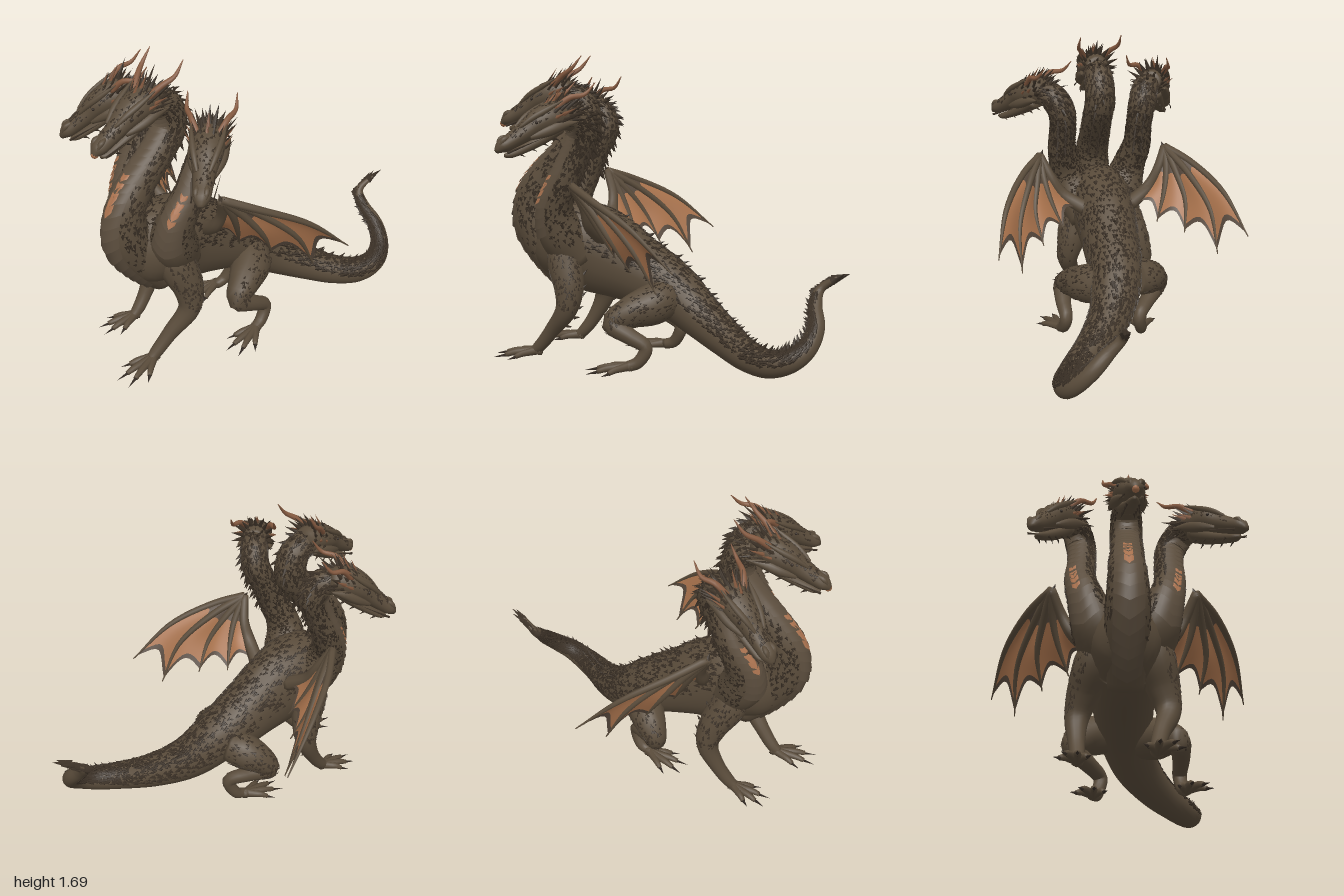
import * as THREE from 'three';
import { mergeGeometries } from 'three/addons/utils/BufferGeometryUtils.js';

const mat = (name, color, side = THREE.FrontSide) => Object.assign(new THREE.MeshStandardMaterial({ color, side }), { name });
const V = (x, y, z) => new THREE.Vector3(x, y, z);
const UP = Math.PI / 2;

let seed = 7;
const rnd = () => ((seed = (seed * 16807) % 2147483647) / 2147483647);
const range = (a, b) => a + (b - a) * rnd();

// Tapering tube through [x, y, z, rx, ry?]; returns point, normal and tangent at (u, angle).
function surface(pts) {
  const path = new THREE.CatmullRomCurve3(pts.map(p => V(p[0], p[1], p[2])));
  const radii = new THREE.CatmullRomCurve3(pts.map(p => V(p[3], p[4] ?? p[3], 0)), false, 'catmullrom', 0.5);
  return (u, a) => {
    const c = path.getPoint(u), t = path.getTangent(u), r = radii.getPoint(u);
    const s = V(1, 0, 0).addScaledVector(t, -t.x).normalize();
    const w = t.clone().cross(s);
    const n = s.clone().multiplyScalar(Math.cos(a)).addScaledVector(w, Math.sin(a));
    const p = c.clone().addScaledVector(s, Math.cos(a) * r.x).addScaledVector(w, Math.sin(a) * r.y);
    return { p, n, t, c };
  };
}

function meshFrom(pos, index, material, name) {
  const g = new THREE.BufferGeometry();
  g.setAttribute('position', new THREE.Float32BufferAttribute(pos, 3));
  g.setIndex(index);
  g.computeVertexNormals();
  return Object.assign(new THREE.Mesh(g, material), { name });
}

function loft(name, pts, material, steps = 20, sides = 12) {
  const f = surface(pts), pos = [], index = [];
  for (let i = 0; i <= steps; i++)
    for (let j = 0; j < sides; j++) pos.push(...f(i / steps, (j / sides) * Math.PI * 2).p.toArray());
  for (let i = 0; i < steps; i++)
    for (let j = 0; j < sides; j++) {
      const k = (j + 1) % sides, a = i * sides + j, b = i * sides + k;
      index.push(a, b, b + sides, a, b + sides, a + sides);
    }
  const n = (steps + 1) * sides;
  pos.push(...f(0, 0).c.toArray(), ...f(1, 0).c.toArray());
  for (let j = 0; j < sides; j++) {
    const k = (j + 1) % sides, e = steps * sides;
    index.push(n, k, j, n + 1, e + j, e + k);
  }
  return meshFrom(pos, index, material, name);
}

// Flattened pointed scale growing from p along dir, with its flat side facing n.
function spike(p, dir, n, len, w, thick = w) {
  const y = dir.clone().normalize(), x = y.clone().cross(n).normalize(), z = x.clone().cross(y);
  const m = new THREE.Matrix4().makeBasis(x, y, z).scale(V(w, len, thick)).setPosition(p);
  return new THREE.ConeGeometry(1, 1, 4, 1, true).translate(0, 0.45, 0).applyMatrix4(m);
}
const merged = (name, list, material) => Object.assign(new THREE.Mesh(mergeGeometries(list), material), { name });

// Scattered small scales lying almost flush, pointing back along the tube.
function scales(pts, count, u0, u1, a0, a1, len) {
  const f = surface(pts), out = [];
  for (let i = 0; i < count; i++) {
    const { p, n, t } = f(range(u0, u1), range(a0, a1)), l = len * range(0.7, 1.3);
    out.push(spike(p, n.clone().multiplyScalar(0.07).sub(t), n, l, l * 0.34, l * 0.12));
  }
  return out;
}

// Rows of raised spines along the back of a tube.
function spines(pts, count, u0, u1, angles, len) {
  const f = surface(pts), out = [];
  for (const a of angles)
    for (let i = 0; i < count; i++) {
      const { p, n, t } = f(u0 + ((u1 - u0) * (i + rnd() * 0.5)) / count, UP + a), l = len * range(0.7, 1.2);
      out.push(spike(p, n.clone().addScaledVector(t, -0.8), n, l, l * 0.2, l * 0.26));
    }
  return out;
}

// Overlapping chevron plates down the throat.
function plates(name, pts, u0, u1, count, centre, half, lift, material) {
  const f = surface(pts), pos = [], index = [], du = (u1 - u0) / count, w = 8;
  for (let i = 0; i < count; i++) {
    const start = pos.length / 3;
    for (let r = 0; r < 2; r++)
      for (let j = 0; j <= w; j++) {
        const v = (j / w) * 2 - 1, u = u0 + du * (i + (r ? 1.1 : 0) - (1 - Math.abs(v)) * 0.7);
        const { p, n } = f(Math.max(0, u), centre + v * half);
        pos.push(...p.addScaledVector(n, lift + (r ? 0 : 0.008) * (1 - v * v)).toArray());
      }
    for (let j = 0; j < w; j++) {
      const a = start + j, b = a + w + 1;
      index.push(a, a + 1, b + 1, a, b + 1, b);
    }
  }
  return meshFrom(pos, index, material, name);
}

export function createModel() {
  seed = 7;
  const model = new THREE.Group();
  model.name = 'threeHeadedDragon';
  const hide = mat('hide', 0x594b3a), dark = mat('darkScale', 0x3f3429), belly = mat('throatPlate', 0x5b4d3d, THREE.DoubleSide);
  const amber = mat('amberPlate', 0xa8714e, THREE.DoubleSide), horn = mat('horn', 0x855a40), claw = mat('claw', 0x332a23);
  const web = mat('wingMembrane', 0xa8724c, THREE.DoubleSide), webDark = mat('wingSkin', 0x54463a, THREE.DoubleSide);
  const darkList = [];

  // Tail and torso, from tail tip to chest
  const spine = [
    [0.215, 0.55, -0.93, 0.01], [0.19, 0.475, -0.84, 0.025], [0.25, 0.4, -0.82, 0.036], [0.34, 0.31, -0.83, 0.045], [0.42, 0.22, -0.79, 0.053],
    [0.455, 0.16, -0.71, 0.063], [0.43, 0.125, -0.6, 0.073], [0.35, 0.135, -0.48, 0.083], [0.22, 0.19, -0.34, 0.1],
    [0.1, 0.28, -0.18, 0.125], [0.03, 0.41, 0.0, 0.15, 0.16], [0.01, 0.51, 0.2, 0.165, 0.2], [0, 0.6, 0.4, 0.18, 0.25],
    [0, 0.65, 0.56, 0.2, 0.24], [0, 0.64, 0.7, 0.16, 0.19], [0, 0.64, 0.8, 0.06, 0.08]];
  model.add(loft('torsoAndTail', spine, hide, 84, 20));
  darkList.push(...scales(spine, 2900, 0.1, 0.92, UP - 1.5, UP + 1.5, 0.026));
  darkList.push(...spines(spine, 30, 0.1, 0.8, [-0.35, 0.35], 0.03), ...spines(spine, 26, 0.12, 0.75, [0], 0.046));

  // Leaf-shaped blades at the tail tip
  const tuft = [];
  for (let i = 0; i < 16; i++) {
    const k = i / 15, dir = V(range(-0.2, 0.3), range(0.35, 0.75), -1);
    tuft.push(spike(V(0.185 + 0.02 * k + range(-0.02, 0.02), 0.45 + 0.085 * k, -0.8 - 0.11 * k), dir, V(1, 0.2, 0), range(0.08, 0.105), 0.026, 0.018));
  }
  model.add(merged('tailTuft', tuft, dark));

  // Heads, built facing +z
  function head(name, at, target, rise) {
    const g = new THREE.Group();
    g.name = name;
    const skull = [[0, -0.01, -0.07, 0.06], [0, 0.015, 0.02, 0.083, 0.082], [0, 0.02, 0.11, 0.08, 0.072], [0, 0.005, 0.19, 0.06, 0.055],
      [0, -0.01, 0.28, 0.049, 0.043], [0, -0.018, 0.345, 0.042, 0.036], [0, -0.03, 0.385, 0.014, 0.012]];
    g.add(loft('skull', skull, hide, 24, 14));
    g.add(loft('jaw', [[0, -0.045, 0.02, 0.06, 0.04], [0, -0.065, 0.13, 0.052, 0.032], [0, -0.075, 0.24, 0.038, 0.024], [0, -0.075, 0.32, 0.028, 0.018], [0, -0.068, 0.35, 0.01]], hide, 14, 10));
    if (name === 'middleHead') {
      const nose = new THREE.Mesh(new THREE.SphereGeometry(0.02, 10, 8), amber);
      nose.name = 'noseTip';
      nose.position.set(0, -0.03, 0.373);
      g.add(nose);
    }
    const thorns = [], crest = [];
    for (const s of [-1, 1]) {
      g.add(loft('horn', [[s * 0.05, 0.06, 0.02, 0.018], [s * 0.088, 0.09, -0.06, 0.015], [s * 0.118, rise * 0.7, -0.13, 0.011], [s * 0.12, rise, -0.21, 0.002]], horn, 14, 8));
      g.add(loft('brow', [[s * 0.03, 0.04, 0.23, 0.008], [s * 0.05, 0.062, 0.16, 0.015], [s * 0.068, 0.075, 0.08, 0.015], [s * 0.085, 0.09, -0.02, 0.003]], hide, 10, 8));
      g.add(loft('cheek', [[s * 0.045, -0.03, 0.2, 0.012], [s * 0.065, -0.03, 0.11, 0.028], [s * 0.075, -0.03, 0.03, 0.026], [s * 0.095, -0.04, -0.05, 0.004]], hide, 10, 8));
      g.add(loft('nostril', [[s * 0.02, 0.015, 0.29, 0.008], [s * 0.025, 0.015, 0.33, 0.014], [s * 0.022, -0.005, 0.36, 0.006]], hide, 8, 8));
      const eye = new THREE.Mesh(new THREE.SphereGeometry(0.008, 10, 8), claw);
      eye.name = 'eye';
      eye.position.set(s * 0.068, 0.036, 0.15);
      g.add(eye);
      for (let i = 0; i < 4; i++)
        thorns.push(spike(V(s * 0.03, -0.085, 0.07 + i * 0.07), V(s * 0.3, -1, -0.8), V(0, 0, 1), 0.035, 0.008));
      // Dark line of the closed mouth
      thorns.push(spike(V(s * 0.05, -0.05, 0.34), V(s * 0.12, 0, -1), V(s, 0, 0), 0.2, 0.007, 0.004));
    }
    // Frill of thorns behind the face
    for (let row = 0; row < 3; row++)
      for (let i = 0; i < 13; i++) {
        const a = -0.6 + (i / 12) * (Math.PI + 1.2), n = V(Math.cos(a), Math.sin(a), 0);
        const p = n.clone().multiplyScalar(0.07).add(V(0, 0.01, 0.06 - row * 0.05));
        const list = row < 2 && i % 4 === 2 ? crest : thorns;
        list.push(spike(p, n.clone().multiplyScalar(0.65).add(V(0, 0.1, -1)), n, range(0.07, 0.12), 0.014, 0.01));
      }
    thorns.push(...scales(skull, 130, 0.15, 0.7, UP - 1.4, UP + 1.4, 0.018));
    g.add(merged('headThorns', thorns, dark), merged('crest', crest, horn));
    g.position.copy(at);
    g.lookAt(target);
    model.add(g);
  }

  // Necks: path, throat angle, head direction and horn height
  const necks = [
    ['middle', [[0, 0.42, 0.56, 0.09], [0, 0.58, 0.67, 0.11, 0.13], [0, 0.76, 0.78, 0.11, 0.135], [0, 0.92, 0.78, 0.1, 0.11], [0, 1.06, 0.69, 0.093],
      [0.01, 1.19, 0.57, 0.088], [0.01, 1.32, 0.48, 0.087], [0.01, 1.44, 0.51, 0.083], [0.01, 1.485, 0.62, 0.07]], -UP, V(0.03, 1.35, 0.97), 0.15],
    ['left', [[0.08, 0.58, 0.5, 0.12], [0.14, 0.72, 0.59, 0.13], [0.195, 0.87, 0.61, 0.1], [0.23, 1.02, 0.55, 0.083], [0.235, 1.17, 0.48, 0.077],
      [0.25, 1.29, 0.43, 0.078], [0.3, 1.37, 0.46, 0.077], [0.37, 1.38, 0.53, 0.065]], -UP + 0.5, V(0.62, 1.24, 0.81), 0.115],
    ['right', [[-0.08, 0.58, 0.5, 0.12], [-0.14, 0.72, 0.59, 0.13], [-0.195, 0.87, 0.61, 0.1], [-0.23, 1.02, 0.55, 0.083], [-0.225, 1.17, 0.48, 0.075],
      [-0.23, 1.3, 0.43, 0.078], [-0.26, 1.38, 0.47, 0.076], [-0.32, 1.39, 0.54, 0.065]], -UP - 0.5, V(-0.49, 1.2, 0.83), 0.1]];
  for (const [name, pts, throat, target, rise] of necks) {
    model.add(loft(name + 'Neck', pts, hide, 40, 18));
    const mid = name === 'middle';
    model.add(plates(name + 'ThroatPlates', pts, mid ? 0.06 : 0.2, 0.85, mid ? 22 : 17, throat, 0.75, 0.003, belly));
    model.add(plates(name + 'AmberPlates', pts, mid ? 0.38 : 0.32, mid ? 0.52 : 0.46, 5, throat, 0.23, 0.006, amber));
    darkList.push(...scales(pts, 1200, 0.12, 0.97, throat + 0.8, throat + 2 * Math.PI - 0.8, 0.024));
    darkList.push(...spines(pts, 14, 0.45, 0.98, [-0.5, 0, 0.5], 0.048));
    const last = pts[pts.length - 1];
    head(name + 'Head', V(last[0], last[1], last[2]), target, rise);
  }

  // Legs with splayed, clawed toes
  function foot(name, x, z, yaw, len) {
    const toes = new THREE.Group(), claws = [];
    toes.name = name;
    [-0.55, -0.15, 0.2, 0.6].forEach((d, i) => {
      const dir = V(Math.sin(yaw + d), 0, Math.cos(yaw + d)), l = len * (i === 0 || i === 3 ? 0.75 : 1);
      const at = (k, y, r) => [x + dir.x * l * k, y, z + dir.z * l * k, r];
      toes.add(loft('toe', [at(-0.1, 0.04, 0.028), at(0.25, 0.035, 0.022), at(0.5, 0.032, 0.018), at(0.72, 0.02, 0.013)], hide, 8, 8));
      claws.push(spike(V(...at(0.66, 0.02, 0)), dir.clone().setY(-0.15), V(0, 1, 0), l * 0.36, 0.013, 0.012));
    });
    toes.add(merged('claws', claws, claw));
    model.add(toes);
  }
  const legs = [
    ['leftFrontLeg', [[0.11, 0.67, 0.56, 0.1], [0.145, 0.57, 0.57, 0.105], [0.19, 0.43, 0.54, 0.085], [0.21, 0.31, 0.55, 0.062], [0.165, 0.17, 0.65, 0.043], [0.14, 0.07, 0.73, 0.036], [0.135, 0.035, 0.77, 0.028]], 0.135, 0.75, 0.12, 0.25],
    ['rightFrontLeg', [[-0.11, 0.67, 0.54, 0.1], [-0.15, 0.57, 0.53, 0.105], [-0.205, 0.43, 0.46, 0.085], [-0.235, 0.31, 0.44, 0.062], [-0.235, 0.17, 0.5, 0.043], [-0.23, 0.07, 0.57, 0.036], [-0.23, 0.035, 0.61, 0.028]], -0.23, 0.6, -0.2, 0.22],
    ['leftHindLeg', [[0.1, 0.38, 0, 0.11], [0.18, 0.35, 0.07, 0.115], [0.245, 0.315, 0.18, 0.09], [0.29, 0.26, 0.27, 0.06], [0.31, 0.2, 0.17, 0.046], [0.31, 0.14, 0.08, 0.038], [0.32, 0.06, 0.12, 0.034], [0.33, 0.035, 0.18, 0.028]], 0.33, 0.17, 0.2, 0.24],
    ['rightHindLeg', [[-0.07, 0.39, 0.0, 0.1], [-0.15, 0.37, 0.04, 0.105], [-0.22, 0.325, 0.1, 0.085], [-0.25, 0.26, 0.14, 0.058], [-0.17, 0.21, 0.05, 0.046], [-0.1, 0.16, -0.04, 0.038], [-0.12, 0.06, 0, 0.034], [-0.13, 0.035, 0.06, 0.028]], -0.14, 0.06, -0.2, 0.24]];
  for (const [name, pts, x, z, yaw, len] of legs) {
    model.add(loft(name, pts, hide, 32, 14));
    foot(name.replace('Leg', 'Foot'), x, z, yaw, len);
    const outer = pts[0][0] > 0 ? 0 : Math.PI;
    darkList.push(...scales(pts, 170, 0.05, 0.5, outer - 1.2, outer + 1.2, 0.02));
    if (name.includes('Front')) darkList.push(...spines(pts, 6, 0.25, 0.65, [Math.PI], 0.035));
  }

  // Wings: fingers fan out from the wrist with scalloped skin between them
  for (const s of [1, -1]) {
    const wing = new THREE.Group();
    wing.name = s > 0 ? 'leftWing' : 'rightWing';
    const wrist = [0.38, 1.02, 0.46];
    const rays = [
      [wrist, [0.5, 0.96, 0.32], [0.63, 0.84, 0.09], [0.71, 0.64, -0.14]],
      [wrist, [0.47, 0.91, 0.29], [0.56, 0.73, 0.1], [0.57, 0.5, -0.03]],
      [wrist, [0.42, 0.89, 0.34], [0.45, 0.75, 0.24], [0.42, 0.58, 0.14]],
      [wrist, [0.37, 0.89, 0.38], [0.34, 0.77, 0.32], [0.28, 0.62, 0.25]],
      [wrist, [0.32, 0.89, 0.41], [0.26, 0.79, 0.4], [0.13, 0.7, 0.36]]
    ].map(r => r.map(p => [p[0] * s, p[1], p[2]]));
    rays.forEach((r, i) => {
      const radii = i === 4 ? [0.024, 0.028, 0.036, 0.045] : [0.022, 0.02, 0.015, 0.003];
      wing.add(loft(i === 4 ? 'wingArm' : 'wingFinger', r.map((p, k) => [...p, radii[k]]), hide, 16, 8));
    });
    const curves = rays.map(r => new THREE.CatmullRomCurve3(r.map(p => V(...p))));
    for (let i = 0; i < 4; i++)
      for (const [t0, t1, material, name] of [[0, 0.42, webDark, 'wingSkin'], [0.42, 0.92, web, 'wingMembrane'], [0.92, 0.97, webDark, 'wingHem']]) {
        const pos = [], index = [], n = 8;
        for (let a = 0; a <= n; a++)
          for (let b = 0; b <= n; b++) {
            const v = b / n, bow = Math.sin(Math.PI * v), t = (t0 + ((t1 - t0) * a) / n) * (1 - 0.14 * bow);
            const p = curves[i].getPoint(t).lerp(curves[i + 1].getPoint(t), v);
            pos.push(p.x, p.y + 0.015 * bow * t, p.z - 0.015 * bow * t);
            if (a < n && b < n) {
              const k = a * (n + 1) + b;
              index.push(k, k + 1, k + n + 2, k, k + n + 2, k + n + 1);
            }
          }
        wing.add(meshFrom(pos, index, material, name));
      }
    const w = V(0.38 * s, 1.0, 0.46);
    wing.add(merged('wristClaw', [spike(w, V(-0.4 * s, 1, 0.1), V(0, 0, 1), 0.06, 0.02), spike(w, V(0.5 * s, 0.9, 0), V(0, 0, 1), 0.045, 0.018)], dark));
    model.add(wing);
  }

  model.add(merged('bodyScales', darkList, dark));
  return model;
}
